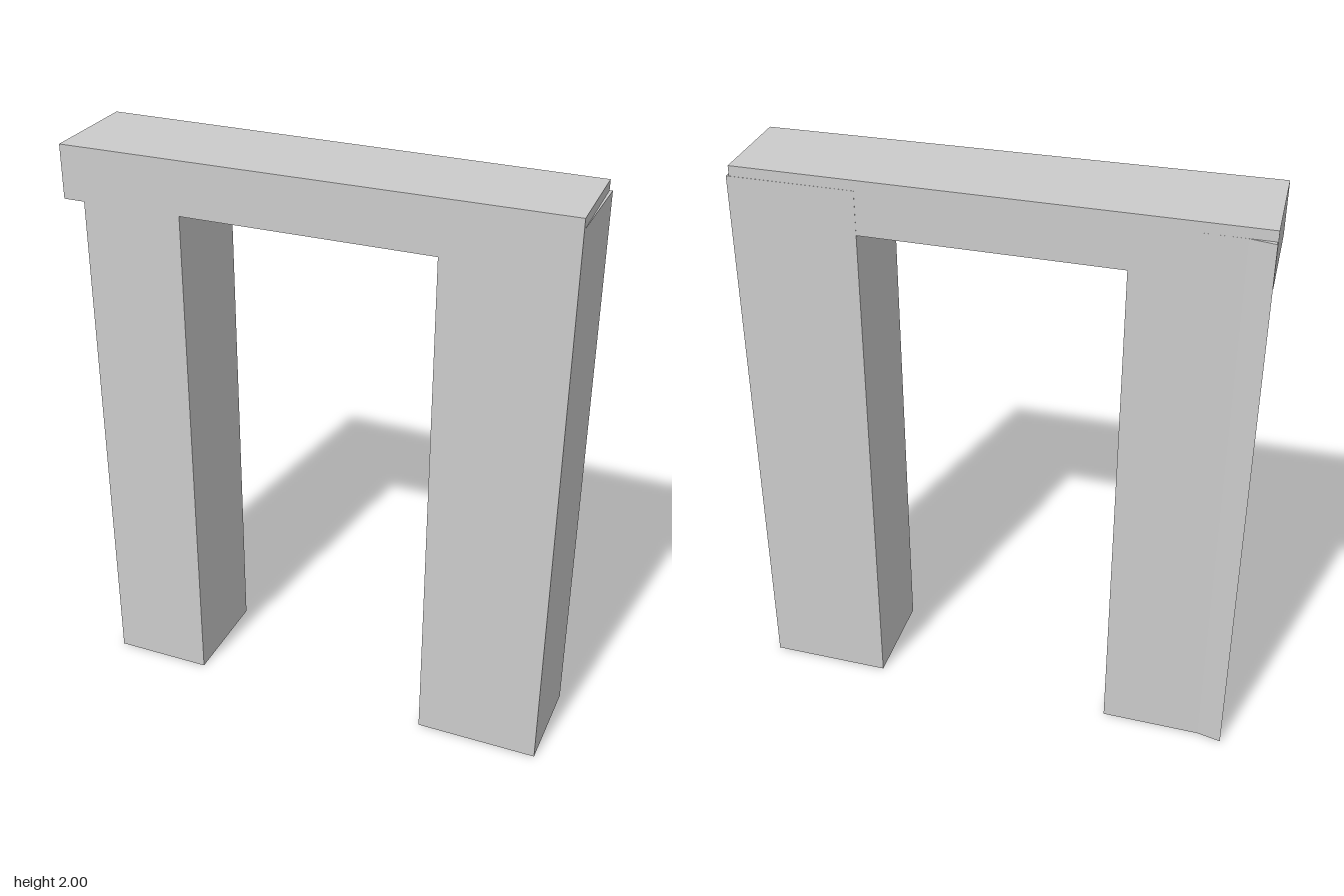
import * as THREE from 'three';

const material = new THREE.MeshStandardMaterial({ color: 0xcccccc, flatShading: true });

// Upright prism from a plan outline of [x, z] corners
function prism(name, plan, bottom, top) {
  const shape = new THREE.Shape(plan.map(([x, z]) => new THREE.Vector2(x, -z)));
  const geometry = new THREE.ExtrudeGeometry(shape, { depth: top - bottom, bevelEnabled: false });
  geometry.rotateX(-Math.PI / 2).translate(0, bottom, 0);
  const mesh = new THREE.Mesh(geometry, material);
  mesh.name = name;
  return mesh;
}

export function createModel() {
  const group = new THREE.Group();
  group.name = 'doorFrame';

  // Lintel, its back edge slightly skewed
  group.add(prism('lintel',
    [[-0.86, 0.2], [0.865, 0.2], [0.856, -0.152], [-0.87, -0.182]], 1.815, 2));

  // Pillar on the +x side
  group.add(prism('leftPillar',
    [[0.435, 0.2], [0.865, 0.2], [0.866, -0.153], [0.435, -0.16]], 0, 1.965));

  // Pillar on the -x side, with a slanted outer face and a flared back corner
  group.add(prism('rightPillar',
    [[-0.785, 0.2], [-0.435, 0.2], [-0.435, -0.174], [-0.785, -0.181], [-0.87, -0.2]], 0, 1.965));

  return group;
}
